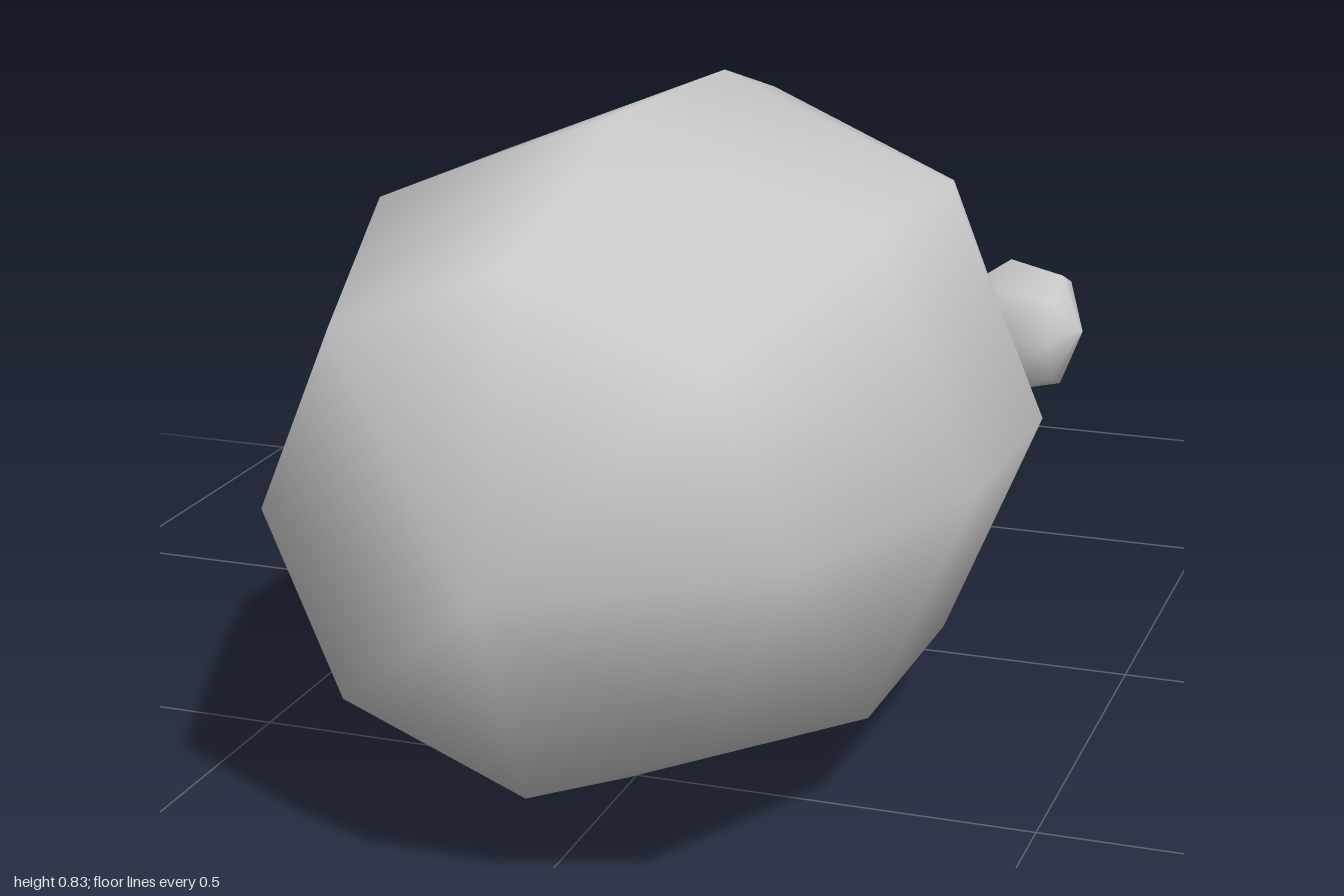
import * as THREE from 'three';
import { mergeVertices } from 'three/addons/utils/BufferGeometryUtils.js';

const SIDES = 8;
const material = new THREE.MeshStandardMaterial({ color: 0xcccccc });

// Smooth skin over octagonal sections [z, centreX, halfWidth, top, bottom], listed front to back
function loft(sections) {
  const pos = [], index = [];
  for (const [z, cx, hw, top, bottom] of sections) {
    for (let j = 0; j < SIDES; j++) {
      const a = (j / SIDES) * Math.PI * 2;
      pos.push(cx + hw * Math.cos(a), (top + bottom) / 2 + ((top - bottom) / 2) * Math.sin(a), z);
    }
  }
  for (let i = 0; i < sections.length - 1; i++) {
    for (let j = 0; j < SIDES; j++) {
      const a = i * SIDES + j, b = i * SIDES + ((j + 1) % SIDES);
      index.push(a, a + SIDES, b, b, a + SIDES, b + SIDES);
    }
  }
  const geo = new THREE.BufferGeometry();
  geo.setAttribute('position', new THREE.Float32BufferAttribute(pos, 3));
  geo.setIndex(index);
  const merged = mergeVertices(geo);
  merged.computeVertexNormals();
  return merged;
}

export function createModel() {
  const group = new THREE.Group();
  const add = (name, geometry) => {
    const mesh = new THREE.Mesh(geometry, material);
    mesh.name = name;
    group.add(mesh);
    return mesh;
  };

  // Meat, from the pointed front to the narrow cuff
  const cuff = [-0.62, 0.005, 0.138, 0.375, 0.06];
  add('meat', loft([
    [1.0, 0.015, 0, 0.405, 0.405],
    [0.84, 0, 0.31, 0.73, 0.12],
    [0.53, 0, 0.428, 0.83, 0.01],
    [0.2, 0.012, 0.413, 0.82, 0.0],
    [0.0, 0.01, 0.345, 0.76, 0.03],
    [-0.14, 0, 0.26, 0.68, 0.025],
    [-0.27, 0, 0.21, 0.58, 0.015],
    [-0.4, 0, 0.175, 0.495, 0.03],
    [-0.53, 0, 0.14, 0.41, 0.055],
    cuff,
  ]));

  // Flat cut face around the bone, kept separate for a hard edge
  add('cutFace', loft([cuff, [-0.62, 0.005, 0, 0.21, 0.21]]));

  // Bone shaft
  add('boneShaft', loft([
    [-0.6, 0, 0.112, 0.335, 0.09],
    [-0.7, 0, 0.106, 0.312, 0.09],
    [-0.8, 0, 0.102, 0.302, 0.093],
    [-0.92, 0, 0.09, 0.28, 0.12],
    [-0.92, 0, 0, 0.2, 0.2],
  ]));

  // Two knobs at the end of the bone
  const profile = [[0.03, 0], [0.11, 0.115], [0.09, 0.2], [0, 0.235]]
    .map(([r, d]) => new THREE.Vector2(r, d));
  for (const side of [1, -1]) {
    const knob = add(side > 0 ? 'leftKnob' : 'rightKnob',
      new THREE.LatheGeometry(profile, SIDES).rotateZ(-Math.PI / 2));
    knob.position.set(0, 0.203, -0.89);
    if (side < 0) knob.rotation.y = Math.PI;
  }
  return group;
}
